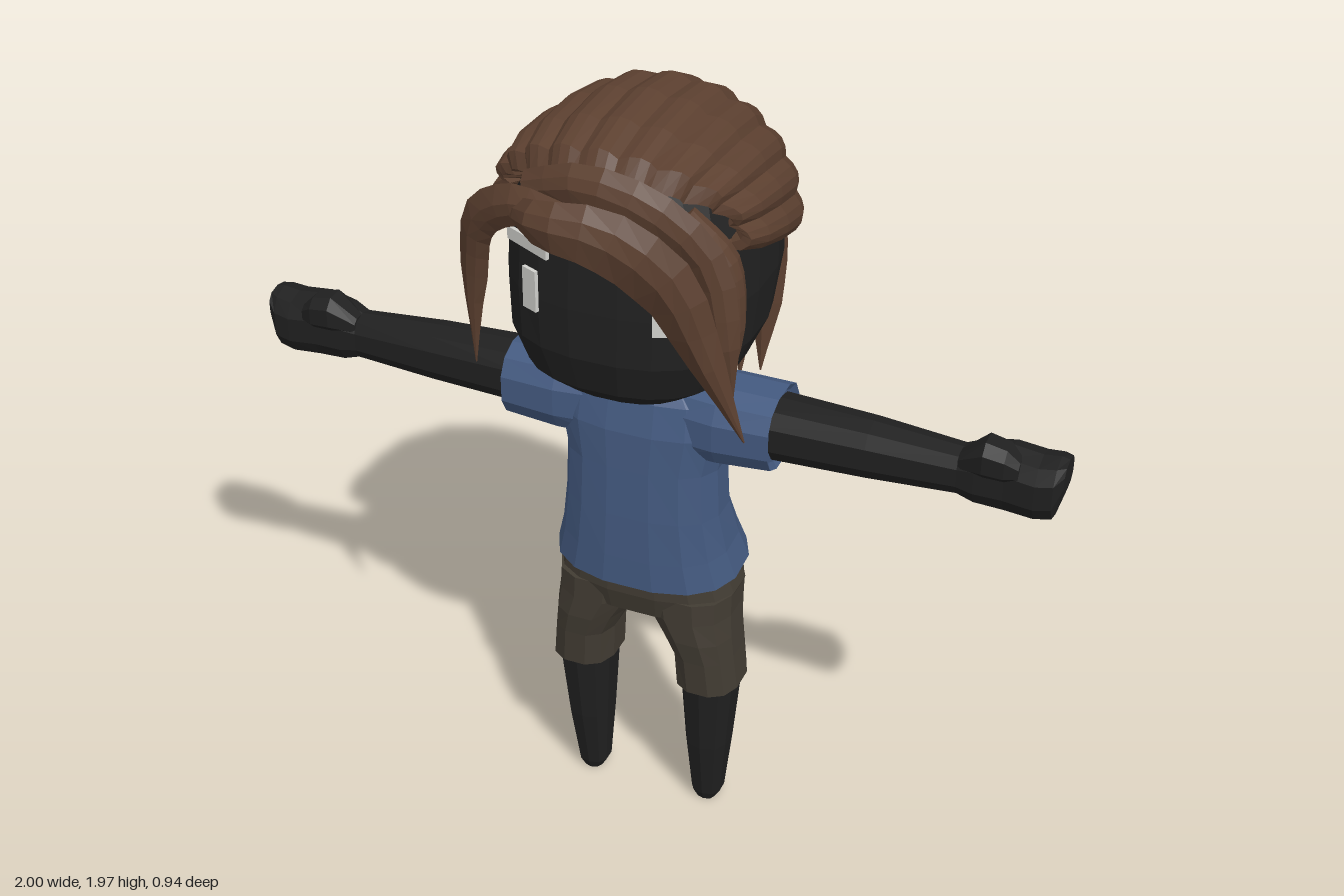
import * as THREE from 'three';

const V = (x, y, z) => new THREE.Vector3(x, y, z);
const material = (name, color) => {
  const m = new THREE.MeshStandardMaterial({ color });
  m.name = name;
  return m;
};

// Closed, faceted skin through rings of points, capped at both ends
function loft(rings) {
  const n = rings[0].length, tris = [];
  for (let i = 0; i < rings.length - 1; i++) {
    for (let j = 0; j < n; j++) {
      const k = (j + 1) % n, a = rings[i], b = rings[i + 1];
      tris.push([a[j], a[k], b[k]], [a[j], b[k], b[j]]);
    }
  }
  const cap = (ring, flip) => {
    const c = ring.reduce((s, p) => s.add(p), V(0, 0, 0)).divideScalar(n);
    ring.forEach((p, j) => {
      const q = ring[(j + 1) % n];
      tris.push(flip ? [c, q, p] : [c, p, q]);
    });
  };
  cap(rings[0], true);
  cap(rings[rings.length - 1], false);
  // Turn the faces outward whatever direction the rings run
  let volume = 0;
  const cross = V(0, 0, 0);
  for (const [a, b, c] of tris) volume += a.dot(cross.crossVectors(b, c));
  if (volume < 0) tris.forEach(t => t.reverse());
  const g = new THREE.BufferGeometry().setFromPoints(tris.flat());
  g.computeVertexNormals();
  return g;
}

// Rounded outline with n corners; p sets how square it is
const outline = (n, p, place) => Array.from({ length: n }, (_, i) => {
  const a = (i + 0.5) / n * Math.PI * 2, c = Math.cos(a), s = Math.sin(a);
  return place(Math.sign(c) * Math.abs(c) ** (2 / p), Math.sign(s) * Math.abs(s) ** (2 / p));
});

// Upright form: rows of [y, half width, front z, back z, back y, centre x]
const upright = (rows, n = 16, p = 2.5, side = 1) => loft(rows.map(([y, rx, zf, zb, yb = y, cx = 0]) =>
  outline(n, p, (u, v) => V(side * (cx + u * rx), (y + yb) / 2 + v * (y - yb) / 2, (zf + zb) / 2 + v * (zf - zb) / 2))));

// Sideways form: rows of [x, bottom y, top y, back z, front z]
const sideways = (rows, side, n = 10, p = 2.5) => loft(rows.map(([x, y0, y1, z0, z1]) =>
  outline(n, p, (u, v) => V(side * x, (y0 + y1) / 2 + v * (y1 - y0) / 2, (z0 + z1) / 2 + u * (z1 - z0) / 2))));

// Flat tapering lock of hair along a curve
function lock(points, widths, outward, thick = 0.02) {
  const curve = new THREE.CatmullRomCurve3(points.map(p => V(...p)));
  const steps = 12, rings = [];
  for (let i = 0; i <= steps; i++) {
    const t = i / steps, f = t * (widths.length - 1), k = Math.min(Math.floor(f), widths.length - 2);
    const w = Math.max(0.002, THREE.MathUtils.lerp(widths[k], widths[k + 1], f - k));
    const c = curve.getPoint(t), T = curve.getTangent(t);
    const W = T.clone().cross(V(...outward)).normalize(), N = W.clone().cross(T);
    const d = Math.min(thick, w * 0.6);
    rings.push([[-1, 0], [-0.45, 0.8], [0.1, 1], [1, 0], [0, -0.7]].map(([u, v]) =>
      c.clone().addScaledVector(W, u * w).addScaledVector(N, v * d)));
  }
  return loft(rings);
}

// Swept-back hair: ridged arcs running from the hairline to the tie
function sweptHair() {
  const strands = 11, per = 4;
  // z, edge y, arch height, half width, hairline pull-back, ridge depth
  const rows = [
    [0.18, 1.74, 0.08, 0.24, 0.08, 0], [0.30, 1.74, 0.14, 0.275, 0.14, 0.09],
    [0.26, 1.73, 0.205, 0.295, 0.10, 0.08], [0.15, 1.71, 0.25, 0.315, 0.06, 0.06],
    [0, 1.68, 0.285, 0.32, 0.02, 0.05], [-0.14, 1.645, 0.30, 0.31, 0, 0.05],
    [-0.25, 1.60, 0.29, 0.275, 0, 0.05], [-0.34, 1.575, 0.22, 0.205, 0, 0.07],
    [-0.40, 1.57, 0.12, 0.11, 0, 0.09], [-0.43, 1.57, 0.05, 0.05, 0, 0],
  ];
  return loft(rows.map(([z, y, h, w, pull, ridge]) =>
    Array.from({ length: strands * per + 1 }, (_, i) => {
      const a = (i / (strands * per) * 2 - 1) * 1.66;
      const r = 1 - ridge / 2 + ridge * [0, 0.7, 1, 0.75][i % per];
      return V(Math.sin(a) * w * r, y + Math.cos(a) * h * r, z - pull * Math.sin(a) ** 2);
    })));
}

export function createModel() {
  const model = new THREE.Group();
  model.name = 'figure';
  const skin = material('charcoal skin', 0x202020), shirt = material('blue cloth', 0x445a80);
  const cloth = material('dark khaki cloth', 0x423c33), hair = material('brown hair', 0x5c4030);
  const pale = material('pale face marks', 0xd0d0cc);
  hair.side = THREE.DoubleSide;
  const add = (name, geometry, mat) => {
    const mesh = new THREE.Mesh(geometry, mat);
    mesh.name = name;
    model.add(mesh);
    return mesh;
  };

  // Head and neck
  add('head', upright([
    [1.295, 0.10, 0.15, -0.05], [1.31, 0.17, 0.23, -0.10], [1.36, 0.245, 0.285, -0.19],
    [1.45, 0.285, 0.31, -0.25], [1.57, 0.295, 0.31, -0.30], [1.70, 0.29, 0.30, -0.31],
    [1.82, 0.25, 0.25, -0.27], [1.90, 0.14, 0.14, -0.17],
  ], 24), skin);
  add('neck', upright([[1.2, 0.075, 0.05, -0.08], [1.34, 0.07, 0.05, -0.07]], 10, 2), skin);

  // Torso of the shirt, with a turned-in hem
  add('shirtBody', upright([
    [0.75, 0.21, 0.11, -0.17, 0.78], [0.72, 0.238, 0.132, -0.20, 0.755], [0.80, 0.217, 0.132, -0.17, 0.83],
    [0.92, 0.20, 0.13, -0.13], [1.05, 0.195, 0.125, -0.12], [1.15, 0.215, 0.12, -0.12],
    [1.23, 0.21, 0.10, -0.11], [1.285, 0.14, 0.06, -0.09],
  ]), shirt);

  // Seat of the shorts
  add('shortsSeat', upright([
    [0.59, 0.13, 0.05, -0.10], [0.62, 0.215, 0.095, -0.15], [0.68, 0.232, 0.11, -0.18], [0.77, 0.205, 0.11, -0.155],
  ]), cloth);

  for (const s of [1, -1]) {
    const side = s > 0 ? 'left' : 'right';
    add(side + 'Sleeve', sideways([
      [0.10, 1.07, 1.28, -0.10, 0.09], [0.20, 1.075, 1.28, -0.115, 0.105],
      [0.335, 1.085, 1.277, -0.115, 0.10], [0.325, 1.10, 1.262, -0.095, 0.08],
    ], s, 12), shirt);
    add(side + 'Arm', sideways([
      [0.28, 1.105, 1.26, -0.085, 0.07], [0.55, 1.11, 1.25, -0.075, 0.055], [0.76, 1.12, 1.235, -0.06, 0.04],
      [0.80, 1.105, 1.25, -0.075, 0.045], [0.87, 1.10, 1.262, -0.085, 0.045], [0.94, 1.097, 1.255, -0.085, 0.05],
      [0.98, 1.105, 1.26, -0.08, 0.045], [1.0, 1.18, 1.258, -0.06, 0.03],
    ], s), skin);
    add(side + 'Thumb', sideways([
      [0.76, 1.19, 1.235, -0.02, 0.035], [0.82, 1.19, 1.29, -0.035, 0.062],
      [0.87, 1.19, 1.28, -0.03, 0.06], [0.90, 1.20, 1.25, -0.01, 0.045],
    ], s, 8), skin);
    add(side + 'ShortsLeg', upright([
      [0.43, 0.068, 0.07, -0.10, 0.43, 0.165], [0.402, 0.083, 0.085, -0.12, 0.402, 0.167],
      [0.50, 0.08, 0.092, -0.122, 0.50, 0.16], [0.56, 0.092, 0.10, -0.13, 0.56, 0.143],
      [0.62, 0.11, 0.10, -0.15, 0.62, 0.12], [0.68, 0.115, 0.10, -0.16, 0.68, 0.115],
    ], 12, 2.5, s), cloth);
    add(side + 'Leg', upright([
      [0, 0.025, 0.01, -0.05, 0, 0.16], [0.025, 0.04, 0.02, -0.065, 0.025, 0.16],
      [0.20, 0.056, 0.05, -0.085, 0.20, 0.163], [0.43, 0.073, 0.075, -0.105, 0.43, 0.167],
    ], 10, 2.5, s), skin);

    // Thin eye and brow plates
    const eye = add(side + 'Eye', new THREE.BoxGeometry(0.042, 0.10, 0.009), pale);
    eye.position.set(s * 0.155, 1.59, 0.288);
    eye.rotation.y = s * 0.42;
    const brow = add(side + 'Brow', new THREE.BoxGeometry(0.135, 0.03, 0.009), pale);
    brow.position.set(s * 0.16, 1.70, 0.283);
    brow.rotation.y = s * 0.47;
  }

  // Hair swept over the skull
  add('sweptHair', sweptHair(), hair);

  // Fringe and face-framing locks
  const front = [0, 0.25, 1];
  add('fringe', lock([
    [-0.17, 1.80, 0.33], [-0.06, 1.835, 0.43], [0.08, 1.82, 0.42], [0.20, 1.72, 0.38], [0.27, 1.56, 0.35], [0.36, 1.34, 0.32],
  ], [0.03, 0.05, 0.07, 0.075, 0.05, 0], front, 0.025), hair);
  add('upperFringe', lock([
    [-0.15, 1.84, 0.30], [0, 1.89, 0.34], [0.15, 1.85, 0.33], [0.26, 1.74, 0.30], [0.30, 1.58, 0.30], [0.32, 1.42, 0.29],
  ], [0.04, 0.05, 0.055, 0.05, 0.04, 0], front), hair);
  add('rightFringe', lock([
    [-0.02, 1.845, 0.39], [-0.15, 1.83, 0.36], [-0.26, 1.75, 0.31], [-0.295, 1.60, 0.28], [-0.305, 1.36, 0.27],
  ], [0.025, 0.045, 0.05, 0.042, 0], [-0.3, 0.2, 1]), hair);
  add('leftSideLock', lock([
    [0.20, 1.83, 0.27], [0.29, 1.73, 0.26], [0.31, 1.58, 0.26], [0.29, 1.38, 0.27],
  ], [0.03, 0.04, 0.035, 0], [1, 0.1, 0.4]), hair);

  // Ponytail: a fan of locks with tips at [x, y, z]
  const tips = [[-0.13, 1.07, -0.41], [-0.07, 1.01, -0.425], [0, 1.09, -0.40], [0.07, 1.02, -0.425], [0.13, 1.06, -0.41],
    [-0.10, 1.12, -0.30], [0, 1.16, -0.33], [0.10, 1.11, -0.30]];
  tips.forEach(([x, y, z], i) => add('ponytailLock' + (i + 1), lock([
    [x * 0.3, 1.68, -0.35], [x * 0.7, 1.58, (z - 0.40) / 2], [x * 0.95, 1.42, z - 0.02], [x, 1.25, z - 0.015], [x, y, z],
  ], [0.04, 0.055, 0.06, 0.045, 0], [0, 0, -1], 0.035), hair));

  return model;
}
